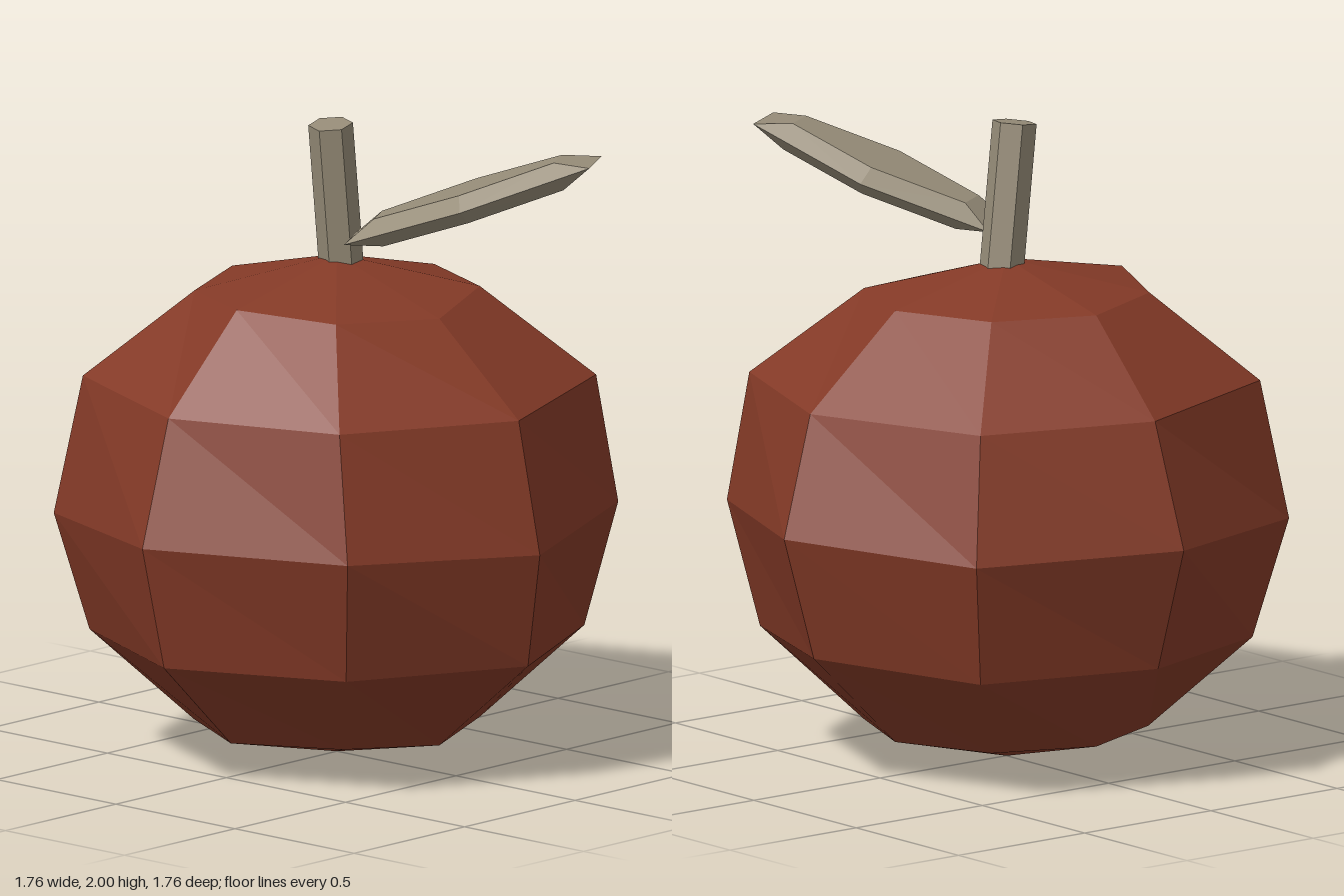
import * as THREE from 'three';
import { ConvexGeometry } from 'three/addons/geometries/ConvexGeometry.js';

const skin = new THREE.MeshStandardMaterial({ color: 0x843a27 });
skin.name = 'russet skin';
const wood = new THREE.MeshStandardMaterial({ color: 0x968c78 });
wood.name = 'dry stem';

function addPart(parent, name, geometry, material) {
  const flat = geometry.index ? geometry.toNonIndexed() : geometry;
  flat.computeVertexNormals();
  const mesh = new THREE.Mesh(flat, material);
  mesh.name = name;
  parent.add(mesh);
  return mesh;
}

// Faceted round fruit with a few corners nudged for a hand-made look
function fruitGeometry() {
  const geo = new THREE.SphereGeometry(0.88, 8, 6);
  geo.scale(1, 0.785 / 0.88, 1);
  geo.translate(0, 0.787, 0);
  const nudges = [ // ring, column, dx, dy, dz
    [1, 2, 0.02, 0.01, 0.035], [1, 3, 0.01, -0.01, 0.04], [1, 4, 0, -0.03, 0.01],
    [1, 1, 0.02, 0, 0.02],
    [2, 0, 0.01, 0.01, -0.02], [2, 1, 0, 0.02, 0.03], [2, 3, 0, 0, 0.03],
    [2, 4, 0.02, -0.01, 0.02], [2, 5, 0.04, 0.01, -0.01], [2, 6, 0.03, 0, 0.01],
    [3, 0, 0, 0.015, -0.01], [3, 1, 0.02, -0.02, 0.01], [3, 4, 0, -0.025, 0.03],
    [3, 5, 0, 0, 0.02], [3, 6, 0, 0.02, 0],
    [4, 0, 0.02, 0.01, 0], [4, 2, 0, 0, 0.02], [4, 4, 0.04, 0, 0], [4, 6, 0, 0.02, 0],
    [5, 2, 0, 0, 0.04], [5, 4, -0.01, -0.02, 0],
  ];
  const p = geo.attributes.position;
  for (const [ring, col, dx, dy, dz] of nudges) {
    // Column 0 has a twin at the seam
    for (const c of col === 0 ? [0, 8] : [col]) {
      const i = ring * 9 + c;
      p.setXYZ(i, p.getX(i) + dx, p.getY(i) + dy, p.getZ(i) + dz);
    }
  }
  return geo;
}

// Leaf along +x: a six-cornered rim with a smaller plate above and below
function leafGeometry() {
  const points = [];
  const layer = (start, endHalf, midHalf, y) => {
    for (const side of [-1, 1]) {
      points.push(
        new THREE.Vector3(start, y, side * endHalf),
        new THREE.Vector3(0.412, y, side * midHalf),
        new THREE.Vector3(0.824 - start, y, side * endHalf));
    }
  };
  layer(0, 0.0875, 0.18, 0);
  layer(0.11, 0.058, 0.125, 0.045);
  layer(0.11, 0.058, 0.125, -0.045);
  return new ConvexGeometry(points);
}

export function createModel() {
  const model = new THREE.Group();
  model.name = 'fruit';

  addPart(model, 'fruitBody', fruitGeometry(), skin);

  // Leaning six-sided stem, sunk a little into the fruit
  const base = new THREE.Vector3(0.003, 1.5, -0.02);
  const top = new THREE.Vector3(0.015, 1.992, 0.045);
  const axis = top.clone().sub(base);
  const stem = addPart(model, 'stem',
    new THREE.CylinderGeometry(0.069, 0.069, axis.length(), 6, 1, false, 0.21), wood);
  stem.position.copy(base).add(top).multiplyScalar(0.5);
  stem.quaternion.setFromUnitVectors(new THREE.Vector3(0, 1, 0), axis.normalize());

  // Leaf rising to the back left
  const leaf = addPart(model, 'leaf', leafGeometry(), wood);
  leaf.position.set(0.105, 1.645, 0.055);
  leaf.rotation.set(0, 0.527, 0.347);

  return model;
}
